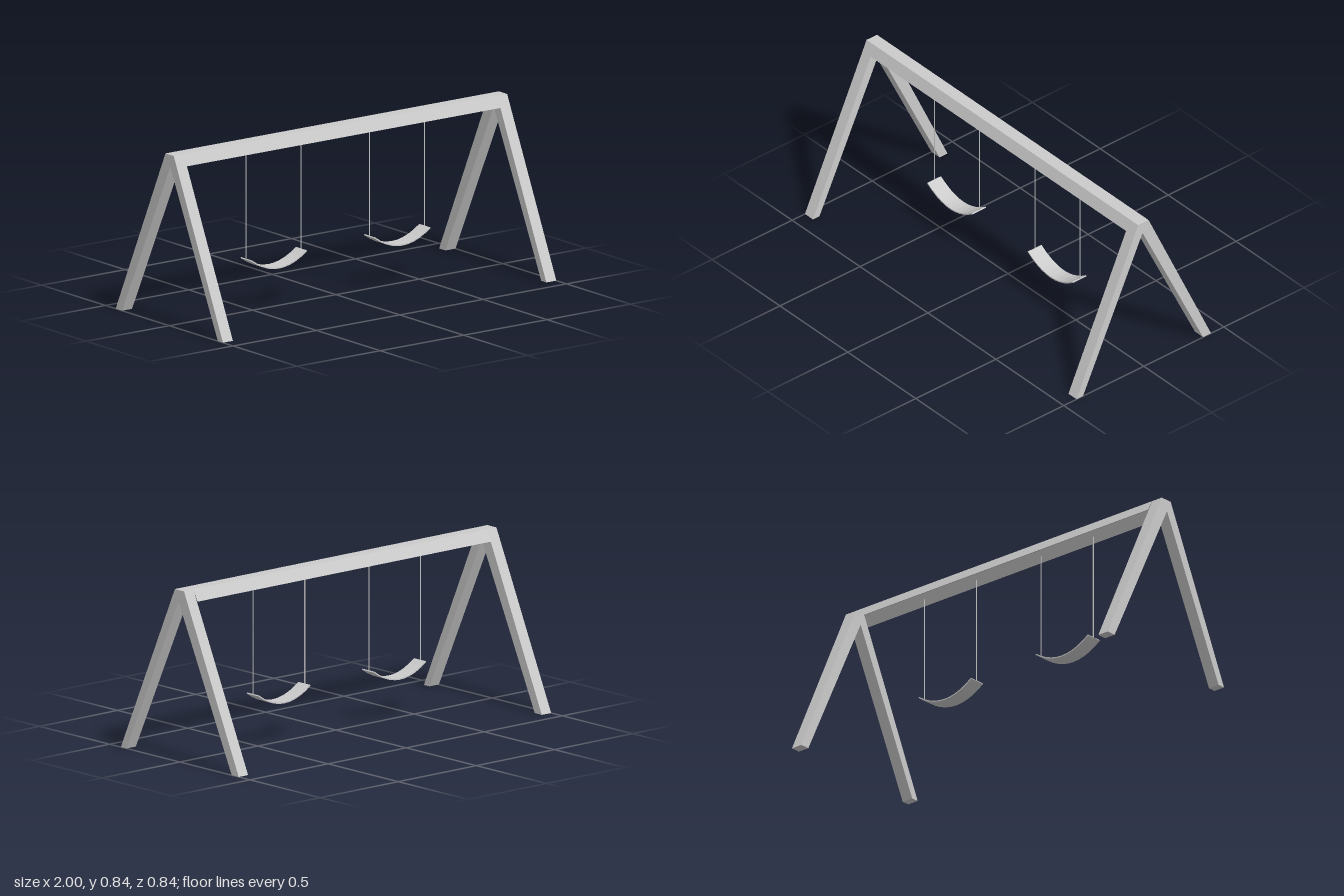
import * as THREE from 'three';

const material = new THREE.MeshStandardMaterial({ color: 0xcccccc, flatShading: true });
const smoothMaterial = new THREE.MeshStandardMaterial({ color: 0xcccccc });
const shellMaterial = new THREE.MeshStandardMaterial({ color: 0xcccccc, flatShading: true, side: THREE.DoubleSide });

const TOP = 0.84, BEAM_BOTTOM = 0.785, LEG_WIDTH = 0.06, SEAT_Y = 0.257;

function add(parent, name, geometry, mat = material) {
  const mesh = new THREE.Mesh(geometry, mat);
  mesh.name = name;
  parent.add(mesh);
  return mesh;
}

// A-shaped pair of legs: side outline in (z, y), extruded along x
function aFrameGeometry() {
  const outline = [[0.42, 0], [0.035, TOP], [-0.03, TOP], [-0.42, 0], [-0.37, 0], [0.008, 0.782], [0.38, 0]];
  const shape = new THREE.Shape(outline.map(([z, y]) => new THREE.Vector2(-z, y)));
  return new THREE.ExtrudeGeometry(shape, { depth: LEG_WIDTH, bevelEnabled: false })
    .rotateY(Math.PI / 2).translate(-LEG_WIDTH / 2, 0, 0);
}

// Top beam: hollow underneath, made of a front slope, a top and a back slope
function beamGeometry(halfLength) {
  const profile = [[0.06, BEAM_BOTTOM], [0.035, TOP], [-0.03, TOP], [-0.06, BEAM_BOTTOM]];
  const positions = [], index = [];
  profile.forEach(([z, y], i) => {
    positions.push(-halfLength, y, z, halfLength, y, z);
    const a = i * 2;
    if (i < profile.length - 1) index.push(a, a + 1, a + 3, a, a + 3, a + 2);
  });
  const geometry = new THREE.BufferGeometry();
  geometry.setAttribute('position', new THREE.Float32BufferAttribute(positions, 3));
  geometry.setIndex(index);
  geometry.computeVertexNormals();
  return geometry;
}

// Sagging seat: a thin curved strip extruded along z
function seatGeometry() {
  const half = 0.166, sag = 0.06, thickness = 0.006, steps = 10;
  const upper = [], lower = [];
  for (let i = 0; i <= steps; i++) {
    const t = (i / steps) * 2 - 1;
    const y = SEAT_Y - sag * (1 - t * t);
    const normal = new THREE.Vector2(-2 * sag * t / half, 1).setLength(thickness / 2);
    upper.push(new THREE.Vector2(t * half + normal.x, y + normal.y));
    lower.push(new THREE.Vector2(t * half - normal.x, y - normal.y));
  }
  const shape = new THREE.Shape([...lower, ...upper.reverse()]);
  return new THREE.ExtrudeGeometry(shape, { depth: 0.084, bevelEnabled: false }).translate(0, 0, -0.039);
}

function createSwing(x) {
  const swing = new THREE.Group();
  swing.name = 'swing';
  swing.position.x = x;
  add(swing, 'seat', seatGeometry());
  const length = BEAM_BOTTOM - SEAT_Y;
  for (const side of [-1, 1]) {
    const rope = add(swing, 'rope', new THREE.CylinderGeometry(0.0025, 0.0025, length, 8), smoothMaterial);
    rope.position.set(side * 0.165, SEAT_Y + length / 2, 0);
  }
  return swing;
}

export function createModel() {
  const model = new THREE.Group();
  model.name = 'swingSet';

  // Legs at both ends
  for (const side of [-1, 1]) {
    const name = side > 0 ? 'leftLegs' : 'rightLegs';
    add(model, name, aFrameGeometry()).position.x = side * (1 - LEG_WIDTH / 2);
  }

  add(model, 'topBeam', beamGeometry(1 - LEG_WIDTH), shellMaterial);

  // Two hanging swings
  for (const x of [-0.375, 0.365]) model.add(createSwing(x));
  return model;
}
